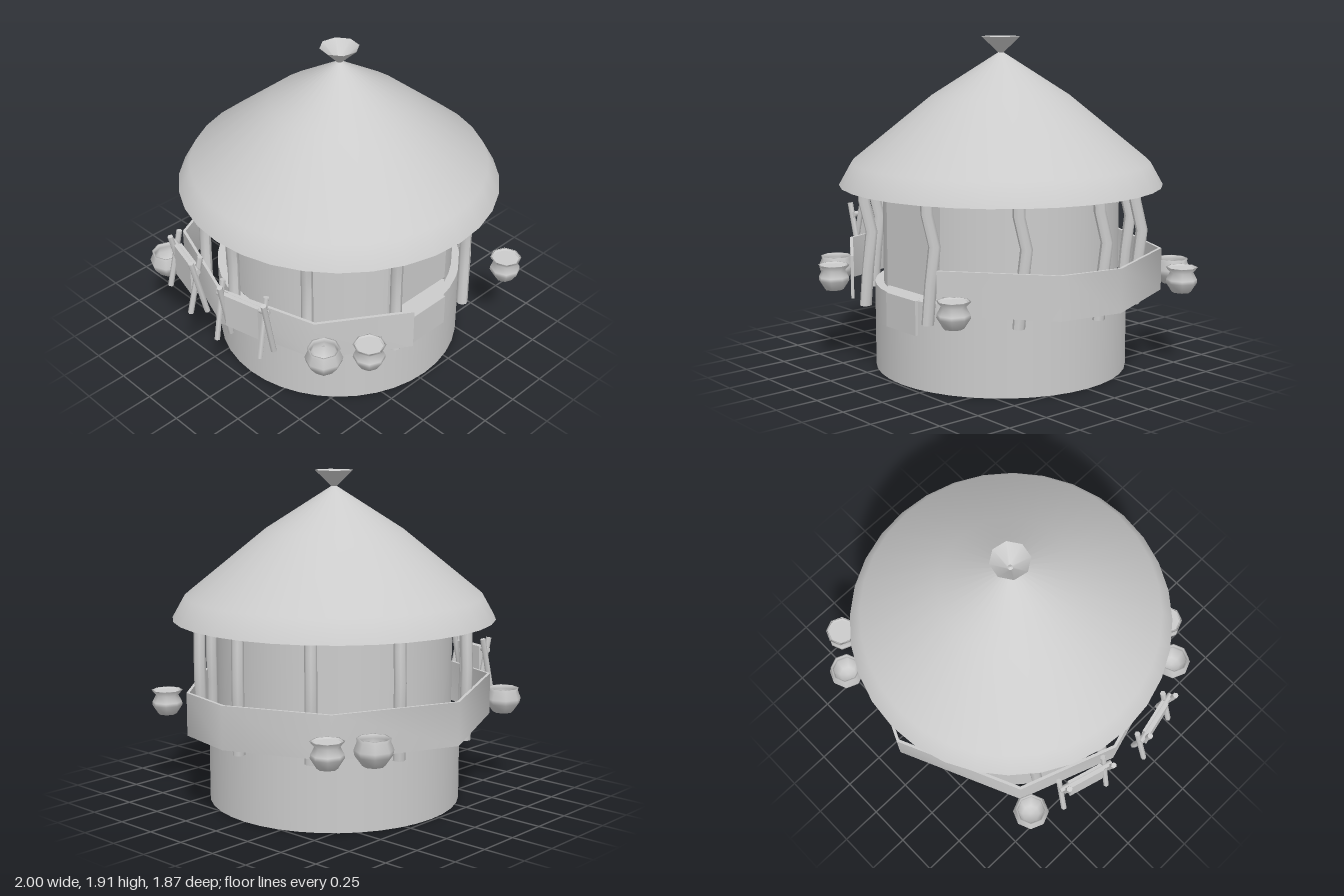
import * as THREE from 'three';
import { toCreasedNormals } from 'three/addons/utils/BufferGeometryUtils.js';

const grey = new THREE.MeshStandardMaterial({ color: 0xcccccc, side: THREE.DoubleSide });

function add(parent, name, geometry, x = 0, y = 0, z = 0) {
  const mesh = new THREE.Mesh(geometry, grey);
  mesh.name = name;
  mesh.position.set(x, y, z);
  parent.add(mesh);
  return mesh;
}

const lathe = (points, sides) =>
  new THREE.LatheGeometry(points.map(([r, y]) => new THREE.Vector2(r, y)), sides);

// Straight stick between two points
function stick(parent, name, a, b, radius) {
  const from = new THREE.Vector3(...a), to = new THREE.Vector3(...b);
  const dir = to.clone().sub(from);
  const mesh = add(parent, name, new THREE.CylinderGeometry(radius, radius, dir.length(), 6));
  mesh.position.copy(from).add(to).multiplyScalar(0.5);
  mesh.quaternion.setFromUnitVectors(new THREE.Vector3(0, 1, 0), dir.normalize());
}

// Bent post: rings of a tall cylinder are shifted along a kinked path
function postGeometry() {
  const path = [[0.4, 0], [0.62, 0.012], [0.83, 0.028], [1.0, 0], [1.2, -0.005]];
  const g = new THREE.CylinderGeometry(0.034, 0.034, 4, 8, 4);
  const p = g.attributes.position;
  for (let i = 0; i < p.count; i++) {
    const [y, shift] = path[Math.round(p.getY(i) + 2)];
    p.setXYZ(i, p.getX(i) + shift, y, p.getZ(i) - shift);
  }
  g.computeVertexNormals();
  return g;
}

// Railing band: outer outline plus the same outline pulled inwards
function bandGeometry(outline) {
  const inner = outline.map(([x, z]) => {
    const k = 1 - 0.018 / Math.hypot(x, z);
    return [x * k, z * k];
  }).reverse();
  const shape = new THREE.Shape([...outline, ...inner].map(([x, z]) => new THREE.Vector2(x, -z)));
  const g = new THREE.ExtrudeGeometry(shape, { depth: 0.245, bevelEnabled: false });
  return toCreasedNormals(g.rotateX(-Math.PI / 2), 1);
}

function addPot(parent, x, z, lidded) {
  const pot = new THREE.Group();
  pot.name = lidded ? 'coveredPot' : 'openPot';
  pot.position.set(x, 0.455, z);
  parent.add(pot);
  const profile = lidded
    ? [[0, 0], [0.055, 0], [0.09, 0.055], [0.088, 0.075], [0.067, 0.115], [0.093, 0.145], [0.082, 0.145], [0.075, 0.135]]
    : [[0, 0], [0.06, 0], [0.1, 0.055], [0.106, 0.085], [0.088, 0.13], [0.092, 0.147],
      [0.083, 0.147], [0.078, 0.125], [0.088, 0.085], [0.05, 0.02], [0, 0.02]];
  add(pot, 'potBody', lathe(profile, 8));
  if (lidded) add(pot, 'potCover', new THREE.CircleGeometry(0.08, 8).rotateX(-Math.PI / 2), 0, 0.137, 0);
}

// Drying rack: crossed sticks at both ends, a rail and a folded hide
function addRack(parent, x, z, turn) {
  const rack = new THREE.Group();
  rack.name = 'dryingRack';
  rack.position.set(x, 0, z);
  rack.rotation.y = turn;
  parent.add(rack);
  for (const end of [-0.145, 0.145]) {
    for (const s of [-1, 1]) {
      stick(rack, 'crossedStick', [0.045 * s, 0.5, end + 0.015 * s], [-0.035 * s, 0.87, end + 0.015 * s], 0.017);
    }
  }
  stick(rack, 'rackRail', [0, 0.8, -0.17], [0, 0.8, 0.17], 0.018);
  add(rack, 'hangingHide', new THREE.BoxGeometry(0.045, 0.21, 0.22), 0, 0.71, 0);
}

export function createModel() {
  const model = new THREE.Group();
  model.name = 'roundHut';
  const hut = new THREE.Group();
  hut.name = 'hut';
  hut.position.x = 0.055;
  model.add(hut);

  // Walls, with a recessed flat door at the front
  const gap = 0.365;
  add(hut, 'lowerWall', new THREE.CylinderGeometry(0.735, 0.735, 0.5, 40, 1, true), 0, 0.25, 0);
  add(hut, 'wallLedge', new THREE.RingGeometry(0.685, 0.735, 40).rotateX(-Math.PI / 2), 0, 0.5, 0);
  add(hut, 'upperWall', new THREE.CylinderGeometry(0.685, 0.685, 0.84, 40, 1, true, gap, Math.PI * 2 - 2 * gap),
    0, 0.92, 0);
  add(hut, 'door', new THREE.PlaneGeometry(0.6, 0.84), 0, 0.92, 0.612);
  add(hut, 'doorSill', new THREE.RingGeometry(0.605, 0.685, 8, 1, -Math.PI / 2 - 0.4, 0.8).rotateX(-Math.PI / 2),
    0, 0.5, 0);
  add(hut, 'doorStep', new THREE.BoxGeometry(0.27, 0.195, 0.03), 0.01, 0.405, 0.722);

  // Roof and finial
  add(hut, 'roof', lathe([[0.935, 1.07], [0.862, 1.2], [0.4, 1.575], [0.001, 1.83]], 32));
  add(hut, 'finial', lathe([[0.015, 1.82], [0.112, 1.912]], 8)).rotation.y = 0.2;

  // Ring of bent posts, mirrored left and right
  const post = postGeometry();
  for (const [x, z] of [[0.29, 0.755], [0.665, 0.435], [0.8, -0.025], [0.665, -0.44], [0.29, -0.735]]) {
    for (const side of [-1, 1]) add(hut, 'post', post, side * x - 0.01, 0, z);
  }

  // Railing around the porch, open at the door
  add(hut, 'railing', bandGeometry([
    [0.345, 0.745], [0.86, 0.32], [0.935, -0.05], [0.695, -0.625], [0.01, -0.93],
    [-0.705, -0.61], [-0.915, -0.03], [-0.74, 0.56], [-0.275, 0.87],
  ]), 0, 0.46, 0);

  // Pots hung around the railing
  for (const [x, z] of [[-0.76, -0.63], [-0.7, 0.65], [0.65, -0.83]]) addPot(model, x, z, false);
  for (const [x, z] of [[-0.5, 0.8], [0.64, 0.82], [0.85, -0.69]]) addPot(model, x, z, true);

  addRack(model, -0.872, -0.3, -0.27);
  addRack(model, -0.91, 0.24, 0.23);
  return model;
}
